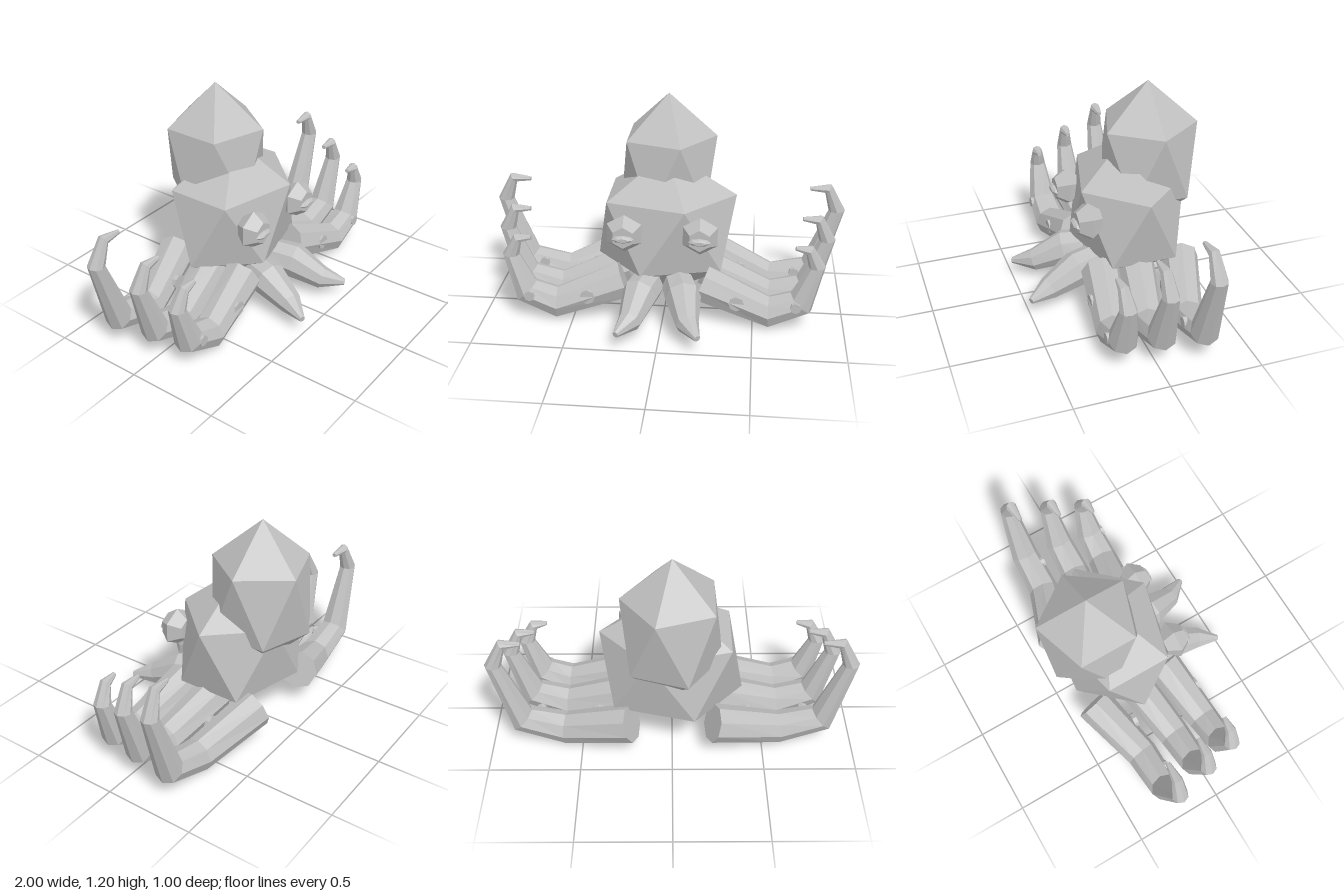
import * as THREE from 'three';
import { ConvexGeometry } from 'three/addons/geometries/ConvexGeometry.js';

const V = (x, y, z) => new THREE.Vector3(x, y, z);

// Faceted 12-point ball with one point straight up, stretched per axis
function facetedBall(rx, ry, rz) {
  const pts = [V(0, ry, 0), V(0, -ry, 0)];
  const h = 1 / Math.sqrt(5), w = 2 * h;
  for (let i = 0; i < 5; i++) {
    const a = (i * Math.PI * 2) / 5;
    const x = w * rx * Math.cos(a), z = w * rz * Math.sin(a);
    pts.push(V(x, h * ry, z), V(-x, -h * ry, -z));
  }
  return new ConvexGeometry(pts);
}

// Closed, flat-sided limb; every station is [x, y, z, radius]
function limb(stations, sides, ref) {
  const p = stations.map((s) => V(s[0], s[1], s[2]));
  const last = p.length - 1;
  const rings = p.map((c, i) => {
    const t = V(0, 0, 0);
    if (i > 0) t.add(p[i].clone().sub(p[i - 1]).normalize());
    if (i < last) t.add(p[i + 1].clone().sub(p[i]).normalize());
    t.normalize();
    const side = ref.clone().addScaledVector(t, -ref.dot(t)).normalize();
    const n = side.clone().cross(t);
    return Array.from({ length: sides }, (_, j) => {
      const a = (j * Math.PI * 2) / sides, r = stations[i][3];
      return c.clone().addScaledVector(n, r * Math.cos(a)).addScaledVector(side, r * Math.sin(a));
    });
  });
  const tris = [];
  for (let j = 0; j < sides; j++) {
    const k = (j + 1) % sides;
    for (let i = 0; i < last; i++) {
      const a = rings[i][j], b = rings[i][k], c = rings[i + 1][k], d = rings[i + 1][j];
      tris.push(a, b, c, a, c, d);
    }
    tris.push(p[0], rings[0][k], rings[0][j], p[last], rings[last][j], rings[last][k]);
  }
  const g = new THREE.BufferGeometry().setFromPoints(tris);
  g.computeVertexNormals();
  return g;
}

export function createModel() {
  const model = new THREE.Group();
  model.name = 'octopus';
  const skin = new THREE.MeshStandardMaterial({ color: 0xc0c0c0 });
  skin.name = 'grey skin';
  const add = (name, geometry, x = 0, y = 0, z = 0) => {
    const mesh = new THREE.Mesh(geometry, skin);
    mesh.name = name;
    mesh.position.set(x, y, z);
    model.add(mesh);
  };

  // Head and the taller mantle behind it
  add('head', facetedBall(0.436, 0.432, 0.345), 0, 0.472, -0.12);
  add('mantle', facetedBall(0.302, 0.43, 0.302), 0, 0.775, -0.24);

  const X = V(1, 0, 0), Z = V(0, 0, 1);
  // Arms: z at base, z along the arm, then bend x, shoulder x/y, crown x/y, tip x/y
  const arms = [
    { name: 'frontArm', z0: 0.1, z: 0.16, bend: 0.76, shoulder: [0.835, 0.385], crown: [0.79, 0.485], tip: [0.715, 0.495], suckers: true },
    { name: 'middleArm', z0: -0.1, z: -0.035, bend: 0.795, shoulder: [0.895, 0.455], crown: [0.845, 0.575], tip: [0.755, 0.58], suckers: false },
    { name: 'rearArm', z0: -0.36, z: -0.255, bend: 0.83, shoulder: [0.955, 0.54], crown: [0.9, 0.672], tip: [0.8, 0.67], suckers: true },
  ];

  for (const s of [1, -1]) {
    const label = s > 0 ? 'left' : 'right';
    for (const a of arms) {
      add(`${label} ${a.name}`, limb([
        [s * 0.22, 0.22, a.z0, 0.108],
        [s * 0.59, 0.095, a.z, 0.09],
        [s * a.bend, 0.165, a.z + 0.003, 0.08],
        [s * a.shoulder[0], a.shoulder[1], a.z + 0.005, 0.046],
        [s * a.crown[0], a.crown[1], a.z + 0.015, 0.03],
        [s * a.tip[0], a.tip[1], a.z + 0.02, 0.012],
      ], 8, Z));
      // Suckers on the forward side of the arm
      if (a.suckers) {
        for (const [x, z, r] of [[0.41, 0.04, 0.042], [0.73, 0.06, 0.03]]) {
          add(`${label} sucker`, limb([[0, 0, 0, r], [0, 0, 0.025, r]], 8, X), s * x, 0.163, a.z + z);
        }
      }
    }

    // Short feeler reaching forward
    add(`${label} feeler`, limb([
      [s * 0.085, 0.2, 0.1, 0.095],
      [s * 0.12, 0.19, 0.21, 0.1],
      [s * 0.155, 0.12, 0.38, 0.064],
      [s * 0.215, 0.1, 0.495, 0.017],
    ], 8, X));

    // Eye with a thin horizontal pupil
    add(`${label} eye`, limb([
      [0, 0, 0.1, 0.06], [0, 0, 0.165, 0.108], [0, 0, 0.23, 0.062],
    ], 6, X), s * 0.205, 0.535, 0);
    const pupil = limb([[0, 0, 0, 0.06], [0, 0, 0.012, 0.055], [0, 0, 0.025, 0.03]], 8, X);
    pupil.scale(1, 0.35, 1);
    pupil.computeVertexNormals();
    add(`${label} pupil`, pupil, s * 0.205, 0.53, 0.229);
  }
  return model;
}
